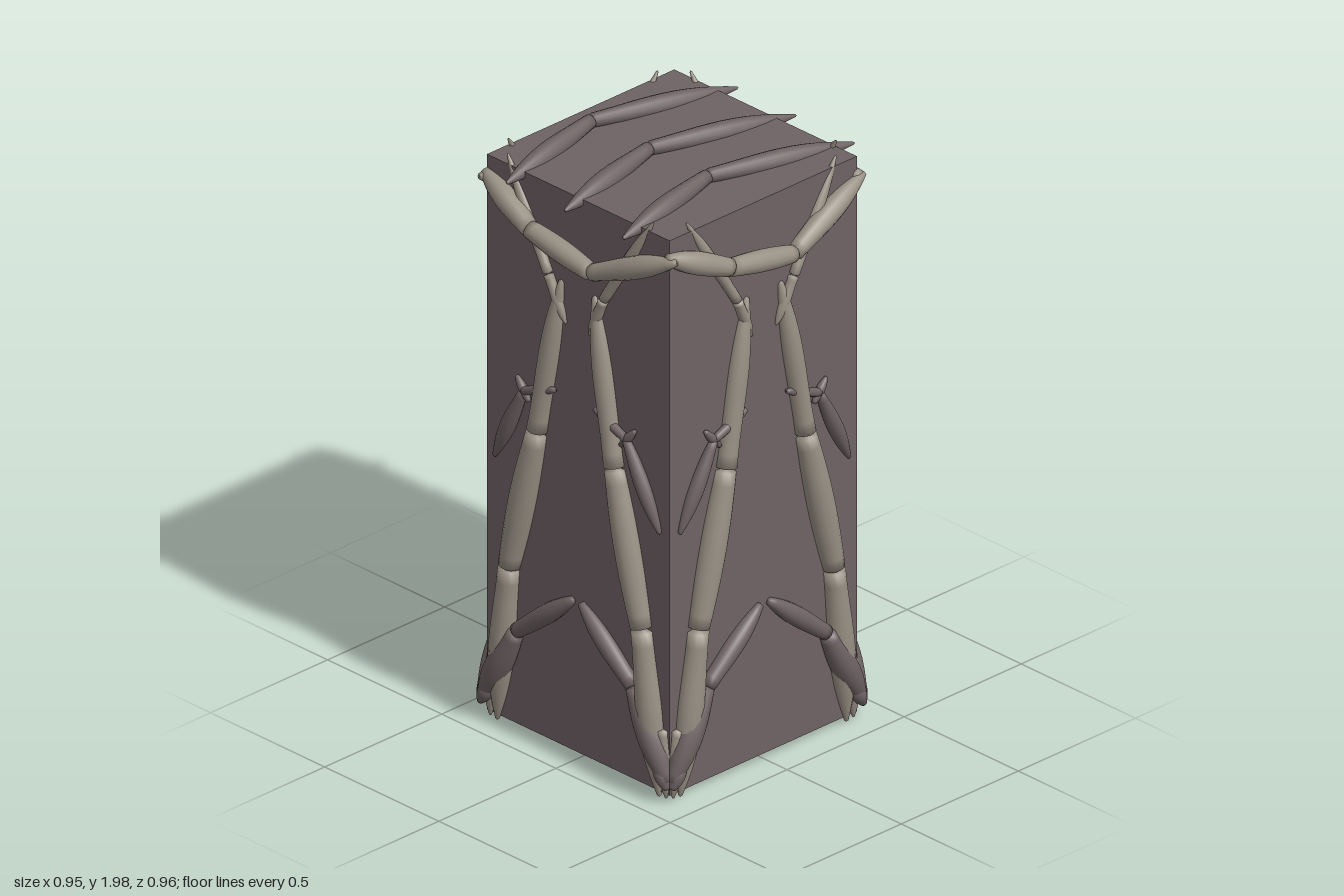
import * as THREE from 'three';

const barkLight = new THREE.MeshStandardMaterial({ color: 0x989084, roughness: 0.9 });
const barkDark = new THREE.MeshStandardMaterial({ color: 0x6e6263, roughness: 0.9 });
const blockMat = new THREE.MeshStandardMaterial({ color: 0x6e6264, roughness: 0.9 });

// One spindle-shaped length of branch from a to b, with end and middle radii
function spindle(name, a, b, rA, rMid, rB, mat) {
  const from = new THREE.Vector3(...a), dir = new THREE.Vector3(...b).sub(from);
  const len = dir.length(), profile = [new THREE.Vector2(0, 0)];
  const steps = 12;
  for (let i = 0; i <= steps; i++) {
    const t = i / steps;
    const bulge = Math.sin(Math.PI * t);
    const r = (rA + (rB - rA) * t) * (1 - bulge) + rMid * bulge;
    profile.push(new THREE.Vector2(r, len * (0.012 + 0.976 * t)));
  }
  profile.push(new THREE.Vector2(0, len));
  const mesh = new THREE.Mesh(new THREE.LatheGeometry(profile, 14), mat);
  mesh.name = name;
  mesh.position.copy(from);
  mesh.quaternion.setFromUnitVectors(new THREE.Vector3(0, 1, 0), dir.normalize());
  return mesh;
}

// Jointed branch: points, and one [start, middle, end] radius set per length
function branch(name, points, radii, mat) {
  const g = new THREE.Group();
  g.name = name;
  radii.forEach((r, i) => g.add(spindle(name + 'Length', points[i], points[i + 1], ...r, mat)));
  return g;
}

// All branches on one upright face
function createFace() {
  const face = new THREE.Group();
  face.name = 'branchedFace';
  for (const s of [-1, 1]) {
    const m = pts => pts.map(([x, y, z]) => [x * s, y, z]);
    // long leaning branch
    face.add(branch('tallBranch',
      m([[0.072, 1.635, 0.4], [0.17, 1.08, 0.41], [0.29, 0.57, 0.412], [0.355, 0.01, 0.4]]),
      [[0.01, 0.036, 0.035], [0.035, 0.046, 0.036], [0.036, 0.046, 0.007]], barkLight));
    // short prong beside the foot
    face.add(spindle('footProng', m([[0.37, 0.25, 0.4]])[0], m([[0.385, 0.015, 0.4]])[0],
      0.02, 0.025, 0.004, barkLight));
    // bent branch rising from the lower corner
    face.add(branch('lowerBranch',
      m([[0.015, 0.555, 0.405], [0.255, 0.36, 0.415], [0.405, 0.08, 0.415]]),
      [[0.012, 0.032, 0.026], [0.026, 0.044, 0.02]], barkDark));
    face.add(spindle('cornerStub', m([[0.36, 0.15, 0.42]])[0], m([[0.41, 0.06, 0.42]])[0],
      0.012, 0.026, 0.01, barkDark));
    // thin twig crossing behind the garland
    face.add(branch('upperTwig',
      m([[0.32, 1.975, 0.39], [0.12, 1.64, 0.41], [0.052, 1.49, 0.402]]),
      [[0.004, 0.02, 0.017], [0.017, 0.018, 0.004]], barkLight));
    // small side twig
    face.add(branch('sideTwig',
      m([[0.363, 0.92, 0.405], [0.225, 1.2, 0.415], [0.085, 1.255, 0.415]]),
      [[0.007, 0.026, 0.014], [0.014, 0.016, 0.008]], barkDark));
    face.add(spindle('twigStub', m([[0.26, 1.24, 0.41]])[0], m([[0.2, 1.17, 0.415]])[0],
      0.006, 0.015, 0.008, barkDark));
  }
  // sagging branch around the top
  face.add(branch('garland',
    [[-0.41, 1.885, 0.4], [-0.175, 1.785, 0.437], [0.095, 1.735, 0.437], [0.43, 1.88, 0.4]],
    [[0.018, 0.038, 0.03], [0.03, 0.036, 0.028], [0.028, 0.037, 0.012]], barkLight));
  return face;
}

export function createModel() {
  const model = new THREE.Group();
  model.name = 'branchWrappedBlock';

  const block = new THREE.Mesh(new THREE.BoxGeometry(0.8, 1.915, 0.8), blockMat);
  block.name = 'block';
  block.position.set(0, 0.9875, 0.004);
  model.add(block);

  // same branches on every face
  for (let i = 0; i < 4; i++) {
    const face = createFace();
    face.rotation.y = i * Math.PI / 2;
    face.position.z = 0.004;
    model.add(face);
  }

  // three bent branches lying across the top
  for (const x of [-0.255, 0, 0.255]) {
    model.add(branch('topBranch',
      [[x + 0.05, 1.925, -0.48], [x - 0.052, 1.967, 0.05], [x + 0.012, 1.928, 0.475]],
      [[0.005, 0.035, 0.023], [0.023, 0.035, 0.006]], barkDark));
    model.add(spindle('topStub', [x - 0.072, 1.955, -0.01], [x - 0.08, 1.93, 0.14],
      0.006, 0.018, 0.007, barkDark));
  }
  return model;
}
